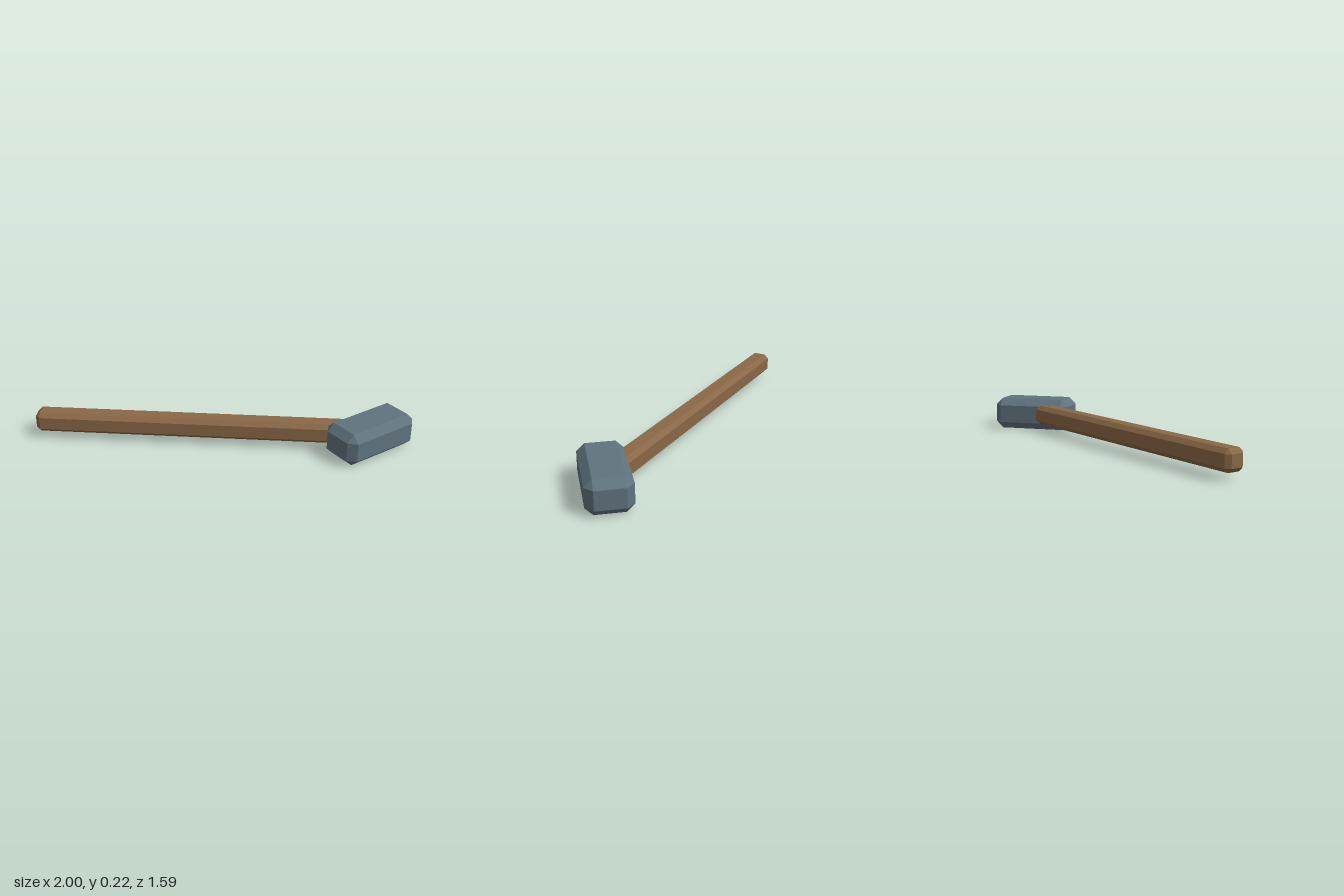
import * as THREE from 'three';
import { ConvexGeometry } from 'three/addons/geometries/ConvexGeometry.js';

// Box with every edge and corner cut off by the same amount
function chamferedBox(w, h, d, c) {
  const points = [];
  for (const sx of [-1, 1]) for (const sy of [-1, 1]) for (const sz of [-1, 1]) {
    const [x, y, z] = [w / 2, h / 2, d / 2];
    points.push(
      new THREE.Vector3(sx * x, sy * (y - c), sz * (z - c)),
      new THREE.Vector3(sx * (x - c), sy * y, sz * (z - c)),
      new THREE.Vector3(sx * (x - c), sy * (y - c), sz * z)
    );
  }
  return new ConvexGeometry(points);
}

export function createModel() {
  const model = new THREE.Group();
  model.name = 'hammer';
  const wood = new THREE.MeshStandardMaterial({ name: 'wood', color: 0x8a6846, flatShading: true });
  const steel = new THREE.MeshStandardMaterial({ name: 'steel', color: 0x60737e, flatShading: true });

  // Heavy block head lying along x
  const head = new THREE.Mesh(chamferedBox(0.565, 0.224, 0.285, 0.049), steel);
  head.name = 'head';
  head.position.set(0.7175, 0.112, 0.65);
  model.add(head);

  // Slanted handle, running from its free end into the middle of the head
  const start = new THREE.Vector3(-0.975, 0.114, -0.76);
  const end = new THREE.Vector3(0.7175, 0.114, 0.637);
  const handle = new THREE.Mesh(chamferedBox(start.distanceTo(end), 0.138, 0.138, 0.028), wood);
  handle.name = 'handle';
  handle.position.copy(start).add(end).multiplyScalar(0.5);
  handle.rotation.y = -Math.atan2(end.z - start.z, end.x - start.x);
  model.add(handle);

  return model;
}
